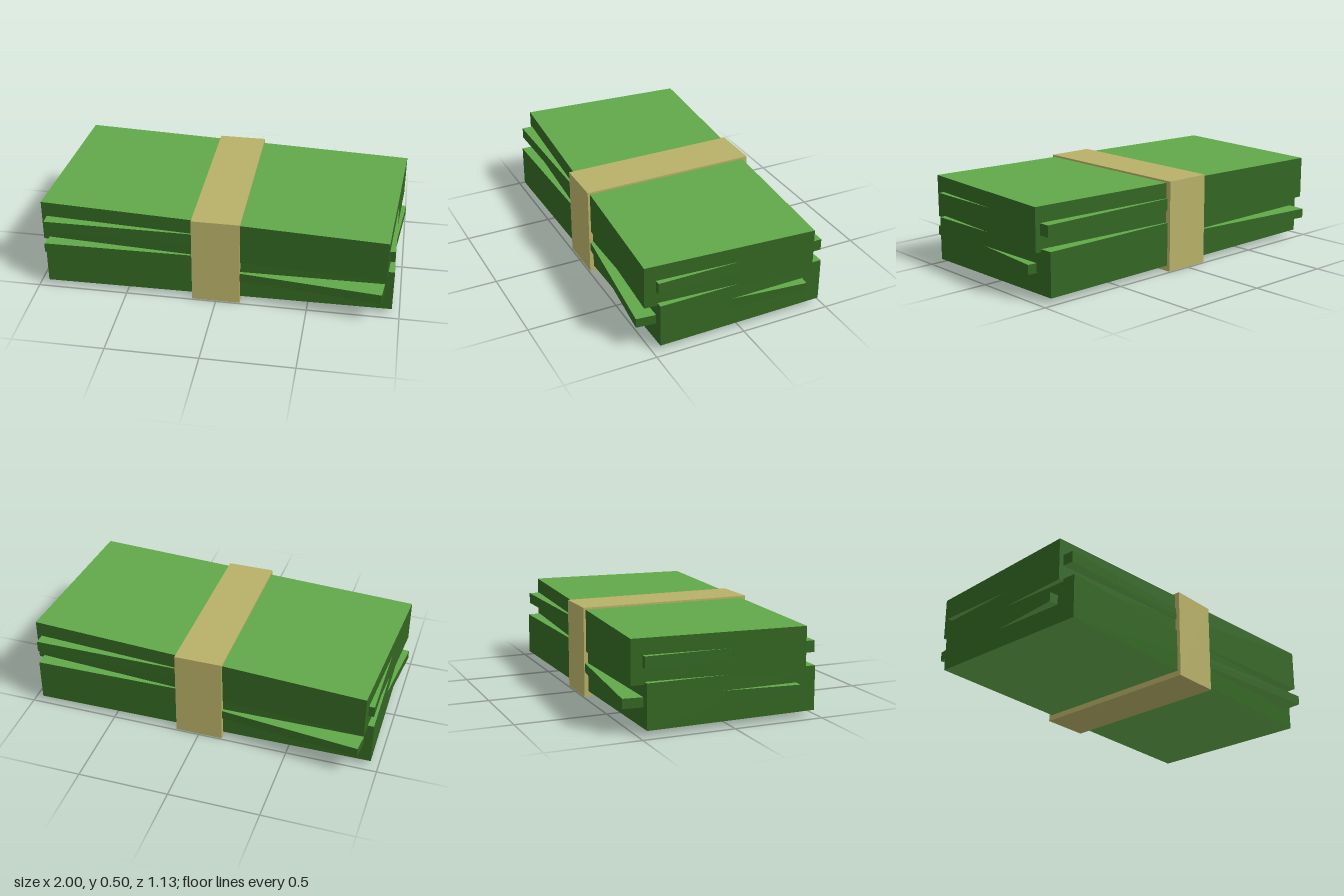
import * as THREE from 'three';

const paperFace = new THREE.MeshStandardMaterial({ color: 0x62a84a });
paperFace.name = 'light green face';
const paperEdge = new THREE.MeshStandardMaterial({ color: 0x336622 });
paperEdge.name = 'dark green edge';
const bandPaper = new THREE.MeshStandardMaterial({ color: 0xb8b068 });
bandPaper.name = 'tan band';

// A bundle of sheets: light top and bottom, dark edges, twisted about the vertical
function sheets(name, y0, y1, twist, width, depth) {
  const geometry = new THREE.BoxGeometry(width, y1 - y0, depth);
  const mesh = new THREE.Mesh(geometry, [
    paperEdge, paperEdge, paperFace, paperFace, paperEdge, paperEdge,
  ]);
  mesh.name = name;
  mesh.position.y = (y0 + y1) / 2;
  mesh.rotation.y = twist;
  return mesh;
}

export function createModel() {
  const model = new THREE.Group();
  model.name = 'banded paper stack';

  // Two thick bundles, each with a thinner layer slipping out of it
  model.add(
    sheets('lowerBundle', 0.031, 0.27, 0.012, 1.905, 0.942),
    sheets('lowerSlip', 0.138, 0.19, -0.105, 1.908, 0.94),
    sheets('upperBundle', 0.255, 0.489, -0.064, 1.903, 0.94),
    sheets('upperSlip', 0.342, 0.404, 0.002, 1.906, 0.94),
  );

  // Wrapping band around the middle
  const band = new THREE.Mesh(new THREE.BoxGeometry(0.264, 0.5, 0.984), bandPaper);
  band.name = 'band';
  band.position.y = 0.25;
  model.add(band);

  return model;
}
